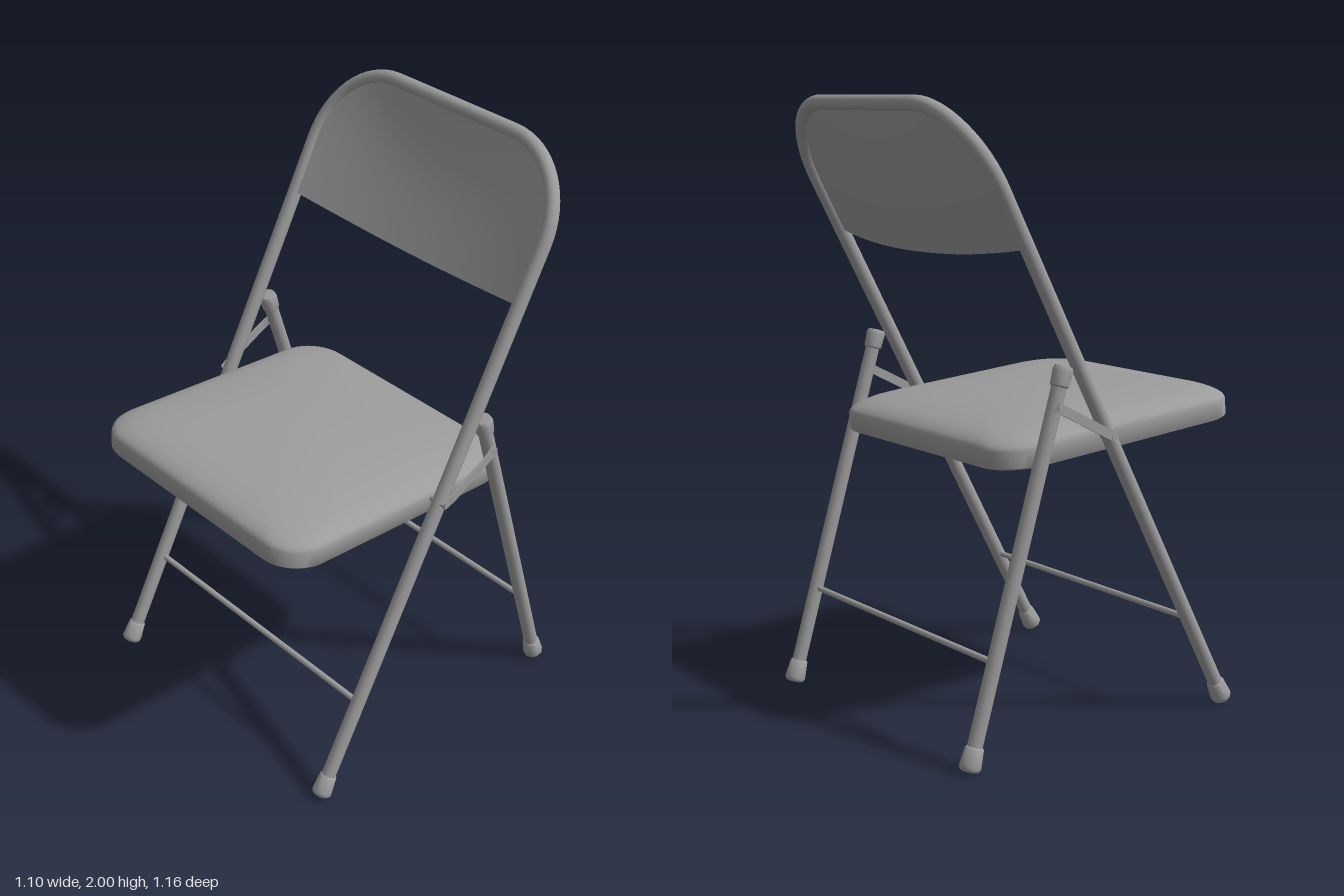
import * as THREE from 'three';
import { toCreasedNormals } from 'three/addons/utils/BufferGeometryUtils.js';

const material = new THREE.MeshStandardMaterial({ color: 0x9c9c9c });
const LEG_X = 0.515, TUBE_R = 0.024;

function add(parent, name, geometry, x = 0, y = 0, z = 0) {
  const mesh = new THREE.Mesh(geometry, material);
  mesh.name = name;
  mesh.position.set(x, y, z);
  parent.add(mesh);
  return mesh;
}

// Group whose local +y runs from one side-view point [z, y] towards another
function leaningGroup(name, [z0, y0], [z1, y1]) {
  const group = new THREE.Group();
  group.name = name;
  group.position.set(0, y0, z0);
  group.rotation.x = Math.atan2(z1 - z0, y1 - y0);
  return group;
}

const lathe = (points) => toCreasedNormals(
  new THREE.LatheGeometry(points.map(([r, y]) => new THREE.Vector2(r, y)), 10), 0.7);

const footCap = () => lathe([[0, 0], [0.029, 0], [0.034, 0.008], [0.034, 0.018], [0.029, 0.07], [0.024, 0.075]]);
const topCap = () => lathe([[0.024, -0.065], [0.029, -0.06], [0.032, -0.012], [0.027, 0], [0, 0.002]]);

function crossBar(parent, y) {
  add(parent, 'crossBar', new THREE.CylinderGeometry(0.01, 0.01, 2 * LEG_X, 12), 0, y, 0).rotation.z = Math.PI / 2;
}

// Bent tube: both front legs and the arch over the backrest
const BEND = 1.942, TOP = 2.222, CORNER_X = 0.258;
function archTube() {
  const k = 0.5523, v = (x, y) => new THREE.Vector3(x, y, 0);
  const inner = LEG_X - CORNER_X, rise = TOP - BEND;
  const corner = (s) => [
    v(s * LEG_X, BEND), v(s * LEG_X, BEND + k * rise), v(s * (inner + k * CORNER_X), TOP), v(s * inner, TOP)];
  const path = new THREE.CurvePath();
  path.add(new THREE.LineCurve3(v(-LEG_X, 0.03), v(-LEG_X, BEND)));
  path.add(new THREE.CubicBezierCurve3(...corner(-1)));
  path.add(new THREE.LineCurve3(v(-inner, TOP), v(inner, TOP)));
  path.add(new THREE.CubicBezierCurve3(...corner(1).reverse()));
  path.add(new THREE.LineCurve3(v(LEG_X, BEND), v(LEG_X, 0.03)));
  return new THREE.TubeGeometry(path, 200, TUBE_R, 16);
}

// Backrest: a thin slab fitted to the arch and bowed backwards
function backPanel() {
  const geometry = new THREE.BoxGeometry(2, 1, 0.014, 40, 14, 1);
  const p = geometry.attributes.position, half = 0.507;
  for (let i = 0; i < p.count; i++) {
    const x = half * Math.sin(p.getX(i) * Math.PI / 2);
    const v = p.getY(i) + 0.5;
    const side = Math.abs(x) / half;
    const d = Math.min(1, Math.max(0, Math.abs(x) - 0.26) / 0.247);
    const top = BEND + 0.272 * Math.sqrt(1 - d * d);
    const bottom = 1.726 + 0.018 * side * side;
    const bow = 0.006 - 0.049 * (1 - side ** 2.2) * (1 - v ** 3);
    p.setXYZ(i, x, bottom + (top - bottom) * v, bow + p.getZ(i));
  }
  geometry.computeVertexNormals();
  return geometry;
}

// Seat: rounded-square rings from the recessed underside, round the rim, to the crown
function seatGeometry() {
  const half = 0.484, arc = 10;
  const rings = [[0.001, 0.036], [0.5, 0.036], [0.972, 0.036], [0.972, 0], [0.995, 0], [1, 0.004],
    [1, 0.056], [0.994, 0.066], [0.98, 0.074], [0.955, 0.083], [0.915, 0.093],
    [0.85, 0.102], [0.7, 0.113], [0.5, 0.122], [0.25, 0.129], [0.001, 0.131]];
  const positions = [], index = [], n = 4 * (arc + 1);
  for (const [s, y] of rings) {
    const h = half * s, r = h * (1 - 0.74 * s);
    for (let q = 0; q < 4; q++) {
      const mid = (q + 0.5) * Math.PI / 2;
      for (let i = 0; i <= arc; i++) {
        const a = (q + i / arc) * Math.PI / 2;
        positions.push(
          Math.sign(Math.cos(mid)) * (h - r) + r * Math.cos(a), y,
          Math.sign(Math.sin(mid)) * (h - r) + r * Math.sin(a));
      }
    }
  }
  for (let j = 0; j < rings.length - 1; j++) {
    for (let i = 0; i < n; i++) {
      const a = j * n + i, c = j * n + (i + 1) % n;
      index.push(a, a + n, c, a + n, c + n, c);
    }
  }
  const geometry = new THREE.BufferGeometry();
  geometry.setAttribute('position', new THREE.Float32BufferAttribute(positions, 3));
  geometry.setIndex(index);
  return toCreasedNormals(geometry, 0.7);
}

// Flat link whose ends bend inwards to the tubes (local +x is outwards)
function linkGeometry(length) {
  const outer = [[-0.014, -0.016], [-0.002, -0.012], [0.004, 0.03],
    [0.004, length - 0.03], [-0.002, length + 0.012], [-0.014, length + 0.016]];
  const inner = outer.map(([x, y]) => [x - 0.008, y]).reverse();
  const shape = new THREE.Shape([...outer, ...inner].map(([x, y]) => new THREE.Vector2(x, y)));
  const geometry = new THREE.ExtrudeGeometry(shape, { depth: 0.03, bevelEnabled: false });
  geometry.translate(0, 0, -0.015);
  return geometry;
}

export function createModel() {
  const chair = new THREE.Group();
  chair.name = 'foldingChair';

  // Front legs, arch and backrest
  const frame = leaningGroup('frontFrame', [0.49, 0.016], [-0.555, 1.977]);
  add(frame, 'archTube', archTube());
  add(frame, 'backrest', backPanel());
  crossBar(frame, 0.348);

  // Rear legs
  const rear = leaningGroup('rearLegs', [-0.55, 0.01], [-0.195, 1.2]);
  const rearLength = 1.242;
  crossBar(rear, 0.33);

  for (const s of [-1, 1]) {
    add(frame, 'frontFoot', footCap(), s * LEG_X);
    add(rear, 'rearFoot', footCap(), s * LEG_X);
    add(rear, 'rearLeg', new THREE.CylinderGeometry(TUBE_R, TUBE_R, rearLength - 0.04, 16), s * LEG_X, rearLength / 2);
    add(rear, 'rearLegCap', topCap(), s * LEG_X, rearLength);

    // Folding link, turned half round about its length on the right side
    const link = leaningGroup('foldingLink', [-0.018, 0.968], [-0.228, 1.076]);
    link.position.x = s * 0.545;
    add(link, 'linkBar', linkGeometry(0.236)).rotation.y = s > 0 ? 0 : Math.PI;
    for (const y of [0, 0.236]) {
      add(link, 'rivet', new THREE.CylinderGeometry(0.012, 0.012, 0.02, 12), -s * 0.007, y).rotation.z = Math.PI / 2;
    }
    chair.add(link);

    // Pin between frame and seat
    add(chair, 'seatPivot', new THREE.CylinderGeometry(0.012, 0.012, 0.04, 12), s * 0.488, 0.965, -0.015).rotation.z = Math.PI / 2;
  }
  chair.add(frame, rear);

  // Seat, tilted slightly back
  add(chair, 'seat', seatGeometry(), 0, 0.925, 0.1).rotation.x = -0.083;
  return chair;
}
